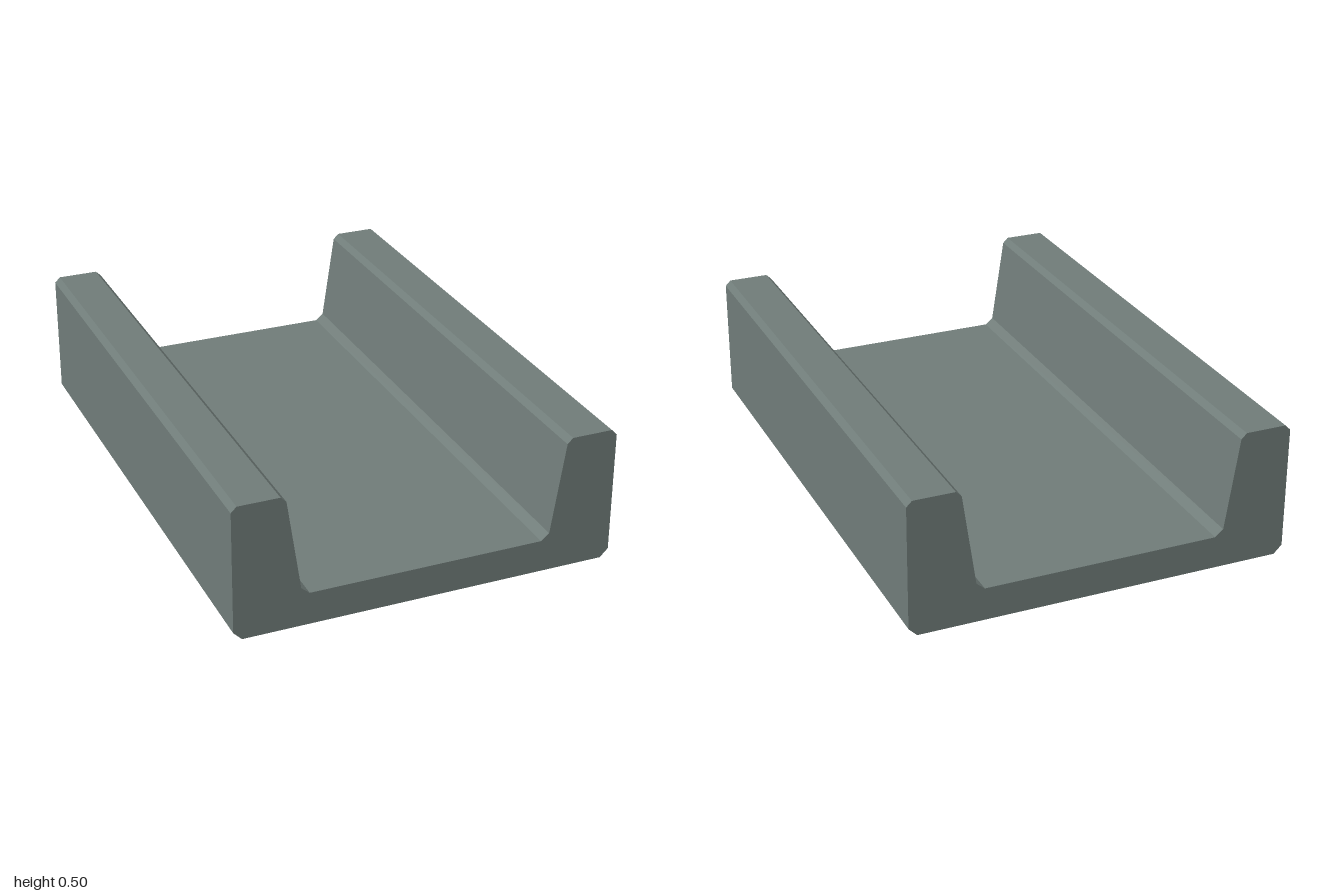
import * as THREE from 'three';

const LENGTH = 2;

// Right half of the channel section, from the bottom centre round to the floor
const HALF_SECTION = [
  [0.67, 0], [0.7, 0.03], [0.7, 0.48], [0.68, 0.5],
  [0.53, 0.5], [0.51, 0.48], [0.46, 0.145], [0.43, 0.12],
];

export function createModel() {
  const grey = new THREE.MeshStandardMaterial({ color: 0x6f7b78, flatShading: true });
  grey.name = 'grey green';

  // Mirror the half section to close the U-shaped outline
  const mirrored = HALF_SECTION.map(([x, y]) => [-x, y]).reverse();
  const outline = [...HALF_SECTION, ...mirrored].map(([x, y]) => new THREE.Vector2(x, y));

  // Sweep the section along z
  const geometry = new THREE.ExtrudeGeometry(new THREE.Shape(outline), {
    depth: LENGTH, bevelEnabled: false,
  });
  geometry.translate(0, 0, -LENGTH / 2);

  const channel = new THREE.Mesh(geometry, grey);
  channel.name = 'channel';

  const model = new THREE.Group();
  model.name = 'channelSection';
  model.add(channel);
  return model;
}
